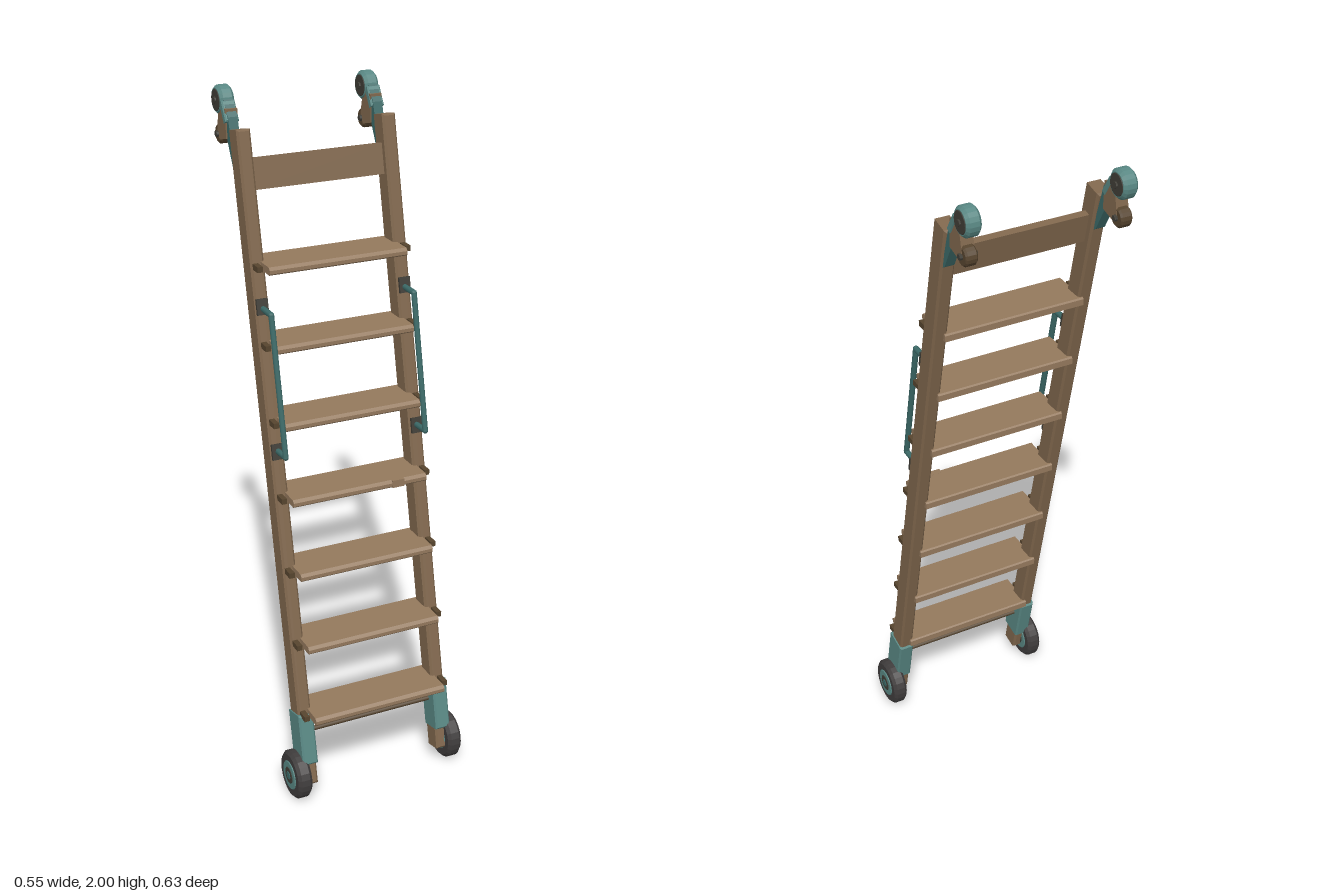
import * as THREE from 'three';

const mat = (name, color) => {
  const m = new THREE.MeshStandardMaterial({ color });
  m.name = name;
  return m;
};

const LEAN = Math.atan(0.227);
const railZ = (y) => 0.21 - 0.227 * (y - 0.27); // centre line of the leaning rails

// Box with chamfered edges, centred on its origin
function chamferBox(w, h, d, c) {
  const x = w / 2 - c, y = h / 2 - c;
  const s = new THREE.Shape([[-x, -y], [x, -y], [x, y], [-x, y]].map((p) => new THREE.Vector2(...p)));
  const g = new THREE.ExtrudeGeometry(s, {
    depth: d - 2 * c, bevelEnabled: true, bevelSegments: 1, bevelSize: c, bevelThickness: c,
  });
  return g.center();
}

// Disc lying along x, with chamfered rims
function wheelGeometry(r, w, c, sides = 24) {
  const p = [[0, -w / 2], [r - c, -w / 2], [r, -w / 2 + c], [r, w / 2 - c], [r - c, w / 2], [0, w / 2]];
  const g = new THREE.LatheGeometry(p.map((q) => new THREE.Vector2(...q)), sides).toNonIndexed();
  g.computeVertexNormals();
  return g.rotateZ(Math.PI / 2);
}

// Profile given as [z, y] points, extruded across x
function crossExtrude(points, width) {
  const s = new THREE.Shape(points.map(([z, y]) => new THREE.Vector2(-z, y)));
  const g = new THREE.ExtrudeGeometry(s, { depth: width, bevelEnabled: false });
  return g.translate(0, 0, -width / 2).rotateY(Math.PI / 2);
}

export function createModel() {
  const root = new THREE.Group();
  root.name = 'rollingLadder';
  const railWood = mat('railWood', 0x80674d);
  const treadWood = mat('treadWood', 0x94795d);
  const darkWood = mat('darkWood', 0x57452f);
  const teal = mat('tealMetal', 0x598884);
  const darkTeal = mat('darkTealMetal', 0x3c6a68);
  const rubber = mat('rubber', 0x403d3d);
  const iron = mat('darkIron', 0x3f3d36);

  const add = (name, geo, material, x, y, z, tilt = 0, parent = root) => {
    const m = new THREE.Mesh(geo, material);
    m.name = name;
    m.position.set(x, y, z);
    m.rotation.x = tilt;
    parent.add(m);
    return m;
  };

  // Treads with a chamfered front edge
  const treadGeo = crossExtrude([
    [-0.068, -0.011], [0.064, -0.011], [0.068, -0.007], [0.068, 0.003],
    [0.06, 0.011], [-0.064, 0.011], [-0.068, 0.007],
  ], 0.418);
  const treadYs = Array.from({ length: 7 }, (_, i) => 0.275 + i * 0.2122);
  treadYs.forEach((y, i) => {
    add('tread' + (i + 1), treadGeo, treadWood, 0, y, railZ(y) + 0.026);
  });
  // Small repair block in the front edge of the middle tread
  add('treadPatch', new THREE.BoxGeometry(0.037, 0.0225, 0.02), treadWood, 0.118, treadYs[3], railZ(treadYs[3]) + 0.085);

  // Top board and lower tie rod
  add('topBoard', new THREE.BoxGeometry(0.41, 0.087, 0.021), railWood, 0, 1.782, railZ(1.782), -LEAN);
  const rod = add('tieRod', new THREE.CylinderGeometry(0.007, 0.007, 0.42, 8), darkWood, 0, 0.203, railZ(0.203));
  rod.rotation.z = Math.PI / 2;

  for (const side of [1, -1]) {
    const g = new THREE.Group();
    g.name = side > 0 ? 'leftSide' : 'rightSide';
    root.add(g);
    const put = (name, geo, m, x, y, z, tilt) => add(name, geo, m, side * x, y, z, tilt, g);

    // Rail and its metal boot
    put('rail', chamferBox(0.041, 1.9, 0.062, 0.006), railWood, 0.218, 0.975, railZ(0.975), -LEAN);
    put('boot', chamferBox(0.047, 0.155, 0.078, 0.005), teal, 0.219, 0.19, railZ(0.19) + 0.003, -LEAN);

    // Pegs at the tread ends
    for (const y of treadYs) {
      put('treadPeg', new THREE.BoxGeometry(0.016, 0.016, 0.04), darkWood, 0.225, y, railZ(y) + 0.045);
    }

    // Floor wheel
    put('tire', wheelGeometry(0.073, 0.044, 0.009), rubber, 0.247, 0.074, 0.243);
    put('wheelHub', wheelGeometry(0.044, 0.05, 0.002), teal, 0.247, 0.074, 0.243);
    put('hubCap', wheelGeometry(0.026, 0.053, 0.002, 16), iron, 0.247, 0.074, 0.243);
    put('axle', wheelGeometry(0.014, 0.07, 0.002, 8), darkTeal, 0.24, 0.074, 0.243);

    // Grab handle with its mounting plates
    const pts = [[-0.03, 1.435], [0.04, 1.435], [0.126, 1.045], [0.06, 1.042]]
      .map(([z, y]) => new THREE.Vector3(side * 0.218, y, z));
    for (let i = 0; i < 3; i++) {
      const path = new THREE.LineCurve3(pts[i], pts[i + 1]);
      put('handleBar', new THREE.TubeGeometry(path, 1, 0.0085, 8), darkTeal, 0, 0, 0);
      if (i) put('handleCorner', new THREE.SphereGeometry(0.0088, 8, 6), darkTeal, 0.218, pts[i].y, pts[i].z);
    }
    for (const y of [1.44, 1.04]) {
      put('handlePlate', new THREE.BoxGeometry(0.034, 0.045, 0.008), iron, 0.219, y, railZ(y) + 0.035, -LEAN);
    }

    // Bracket rising from the rail back to the track rollers
    put('bracketArm', crossExtrude([
      [-0.16, 1.78], [-0.175, 1.79], [-0.232, 1.895], [-0.262, 1.945], [-0.24, 1.972], [-0.205, 1.925],
    ], 0.028), darkTeal, 0.219, 0, 0);
    put('bracketStrap', chamferBox(0.04, 0.06, 0.022, 0.004), teal, 0.22, 1.935, -0.228, -0.55);
    put('rollerBlock', crossExtrude([
      [-0.212, 1.865], [-0.262, 1.852], [-0.278, 1.875], [-0.262, 1.95], [-0.215, 1.945],
    ], 0.036), railWood, 0.219, 0, 0);

    // Upper track roller and lower guide roller
    put('trackRoller', wheelGeometry(0.041, 0.042, 0.008, 20), teal, 0.219, 1.959, -0.276);
    put('rollerFace', wheelGeometry(0.031, 0.045, 0.002, 20), iron, 0.219, 1.959, -0.276);
    put('rollerAxle', wheelGeometry(0.009, 0.054, 0.001, 8), iron, 0.219, 1.959, -0.276);
    put('guideRoller', wheelGeometry(0.028, 0.034, 0.005, 16), darkWood, 0.219, 1.866, -0.274);
    put('guideAxle', wheelGeometry(0.009, 0.05, 0.001, 8), iron, 0.219, 1.866, -0.274);
  }
  return root;
}
